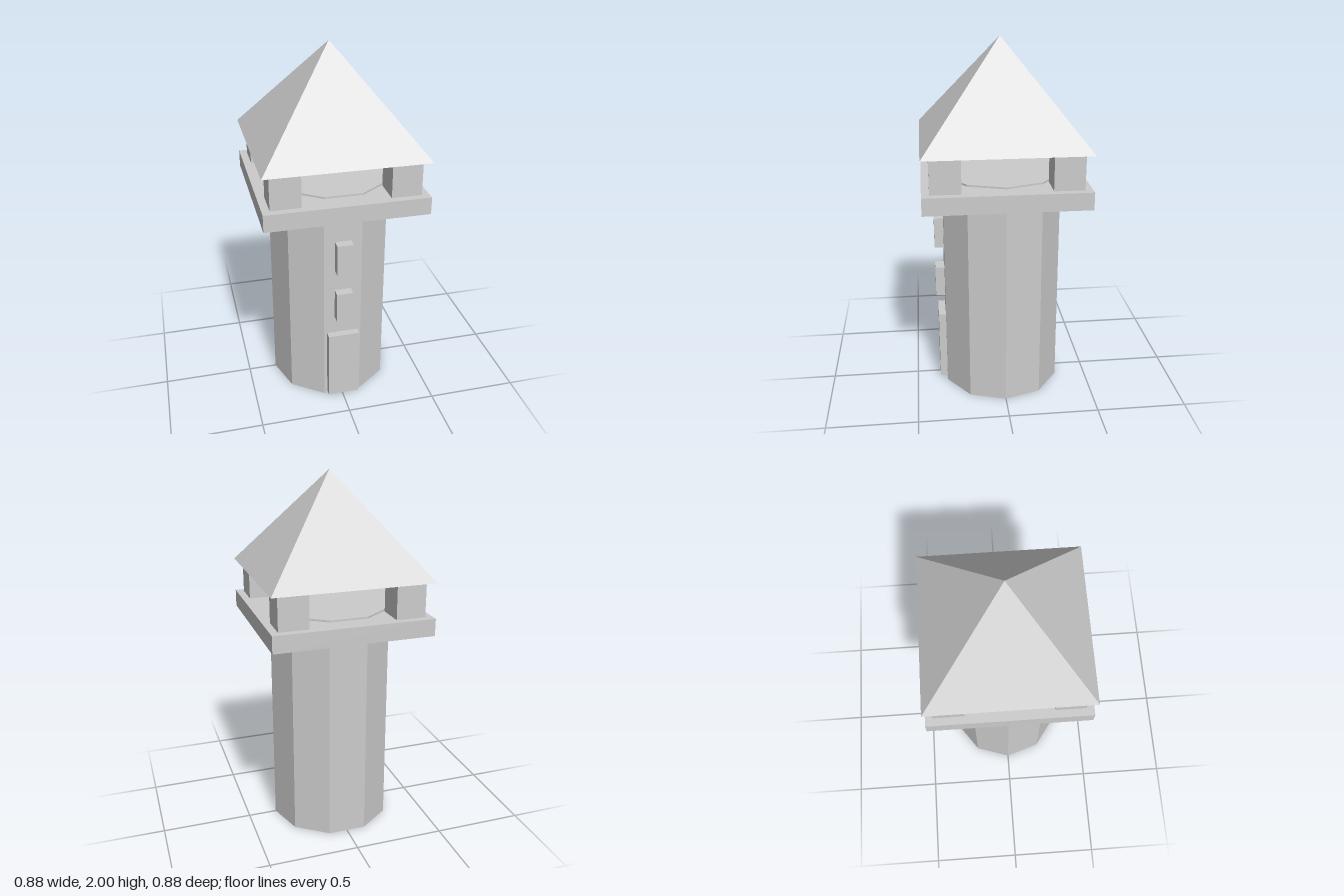
import * as THREE from 'three';

export function createModel() {
  const group = new THREE.Group();
  group.name = 'watchtower';
  const stone = new THREE.MeshStandardMaterial({ color: 0xcccccc, flatShading: true });
  stone.name = 'pale grey stone';

  const add = (name, geometry, x, y, z) => {
    const mesh = new THREE.Mesh(geometry, stone);
    mesh.name = name;
    mesh.position.set(x, y, z);
    group.add(mesh);
    return mesh;
  };
  // Box given by its width, bottom, top, and z range
  const addBox = (name, x, width, y0, y1, z0, z1) =>
    add(name, new THREE.BoxGeometry(width, y1 - y0, z1 - z0), x, (y0 + y1) / 2, (z0 + z1) / 2);

  // Ten-sided shaft, a flat side facing front; its top just clears the platform
  const shaft = new THREE.CylinderGeometry(0.34, 0.34, 1.28, 10);
  shaft.rotateY(Math.PI / 2);
  add('shaft', shaft, 0, 0.64, 0);

  // Lookout platform
  const half = 0.438;
  addBox('platform', 0, half * 2, 1.175, 1.27, -half, half);

  // Four corner pillars
  for (const sx of [-1, 1]) {
    for (const sz of [-1, 1]) {
      const z = sz * 0.316;
      addBox('cornerPillar', sx * 0.316, 0.162, 1.27, 1.46, z - 0.081, z + 0.081);
    }
  }

  // Pyramid roof with a closed underside
  const roof = new THREE.ConeGeometry(half * Math.SQRT2, 0.54, 4);
  roof.rotateY(Math.PI / 4);
  add('roof', roof, 0, 1.73, 0);

  // Door and two window blocks on the front side
  addBox('door', 0, 0.176, 0.02, 0.43, 0.29, 0.364);
  addBox('lowerWindow', 0, 0.09, 0.535, 0.71, 0.29, 0.375);
  addBox('upperWindow', 0, 0.09, 0.835, 1.01, 0.29, 0.375);

  return group;
}
